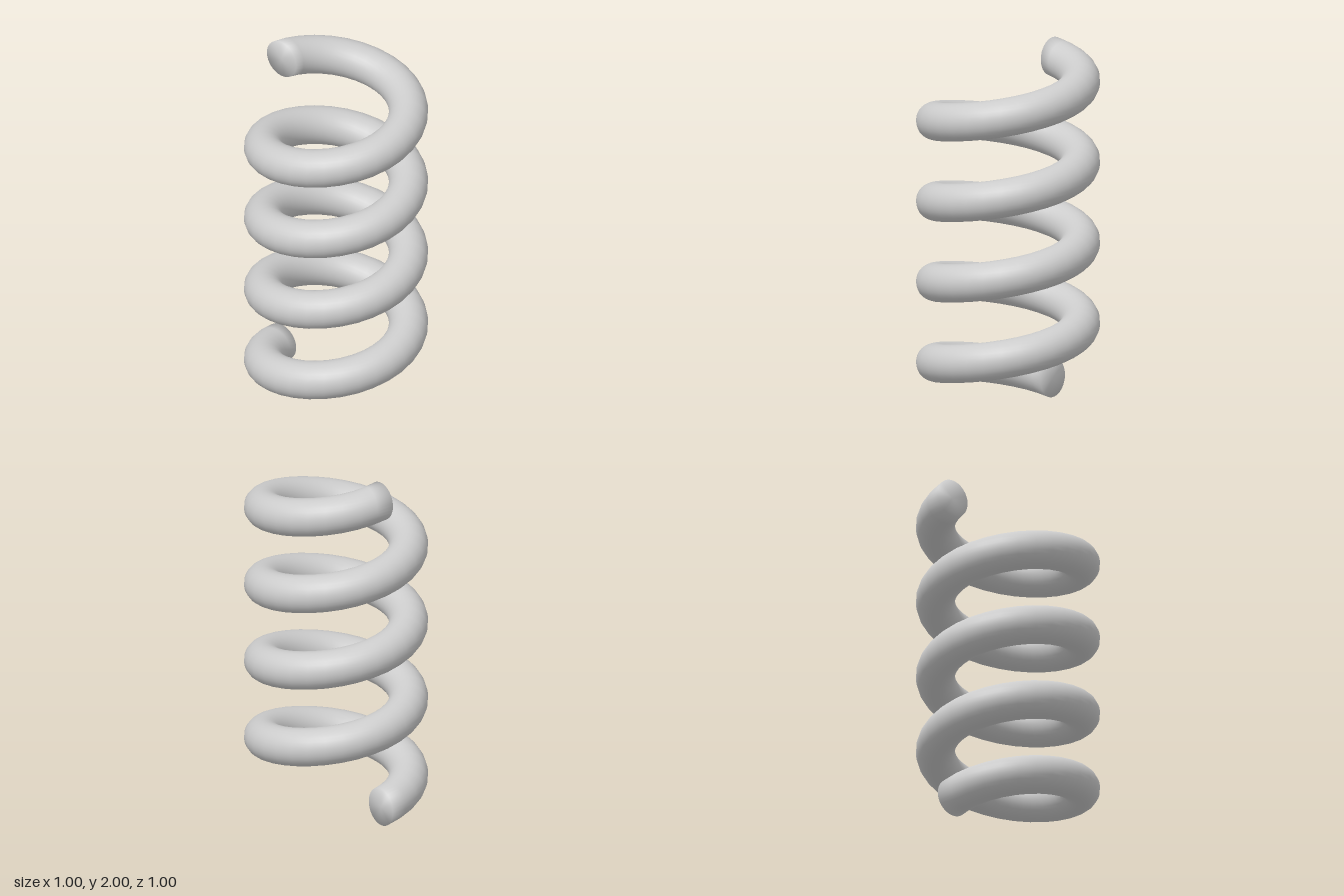
import * as THREE from 'three';

const TURNS = 4, STEPS = 32, SIDES = 32;   // steps per turn, sides of the wire
const COIL_R = 0.393, WIRE_R = 0.106;

// Upright circular section swept up a helix, both ends closed and smoothly shaded
function coilGeometry() {
  const rings = TURNS * STEPS;
  const rise = 2 - 2 * WIRE_R;
  const positions = [], index = [];

  for (let i = 0; i <= rings; i++) {
    const a = (i / STEPS) * Math.PI * 2;
    const y = WIRE_R + (rise * i) / rings;
    for (let j = 0; j < SIDES; j++) {
      const b = (j / SIDES) * Math.PI * 2;
      const r = COIL_R + WIRE_R * Math.cos(b);
      positions.push(-r * Math.cos(a), y + WIRE_R * Math.sin(b), r * Math.sin(a));
    }
  }
  // centres of the two flat ends
  const start = positions.length / 3, end = start + 1;
  positions.push(-COIL_R, WIRE_R, 0, -COIL_R, WIRE_R + rise, 0);

  for (let j = 0; j < SIDES; j++) {
    const k = (j + 1) % SIDES, last = rings * SIDES;
    for (let i = 0; i < rings; i++) {
      const p = i * SIDES, q = p + SIDES;
      index.push(p + j, q + j, p + k, q + j, q + k, p + k);
    }
    index.push(start, j, k, end, last + k, last + j);
  }

  const geometry = new THREE.BufferGeometry();
  geometry.setAttribute('position', new THREE.Float32BufferAttribute(positions, 3));
  geometry.setIndex(index);
  geometry.computeVertexNormals();
  return geometry;
}

export function createModel() {
  const group = new THREE.Group();
  group.name = 'spring';
  const coil = new THREE.Mesh(coilGeometry(), new THREE.MeshStandardMaterial({ color: 0xcccccc }));
  coil.name = 'coil';
  group.add(coil);
  return group;
}
